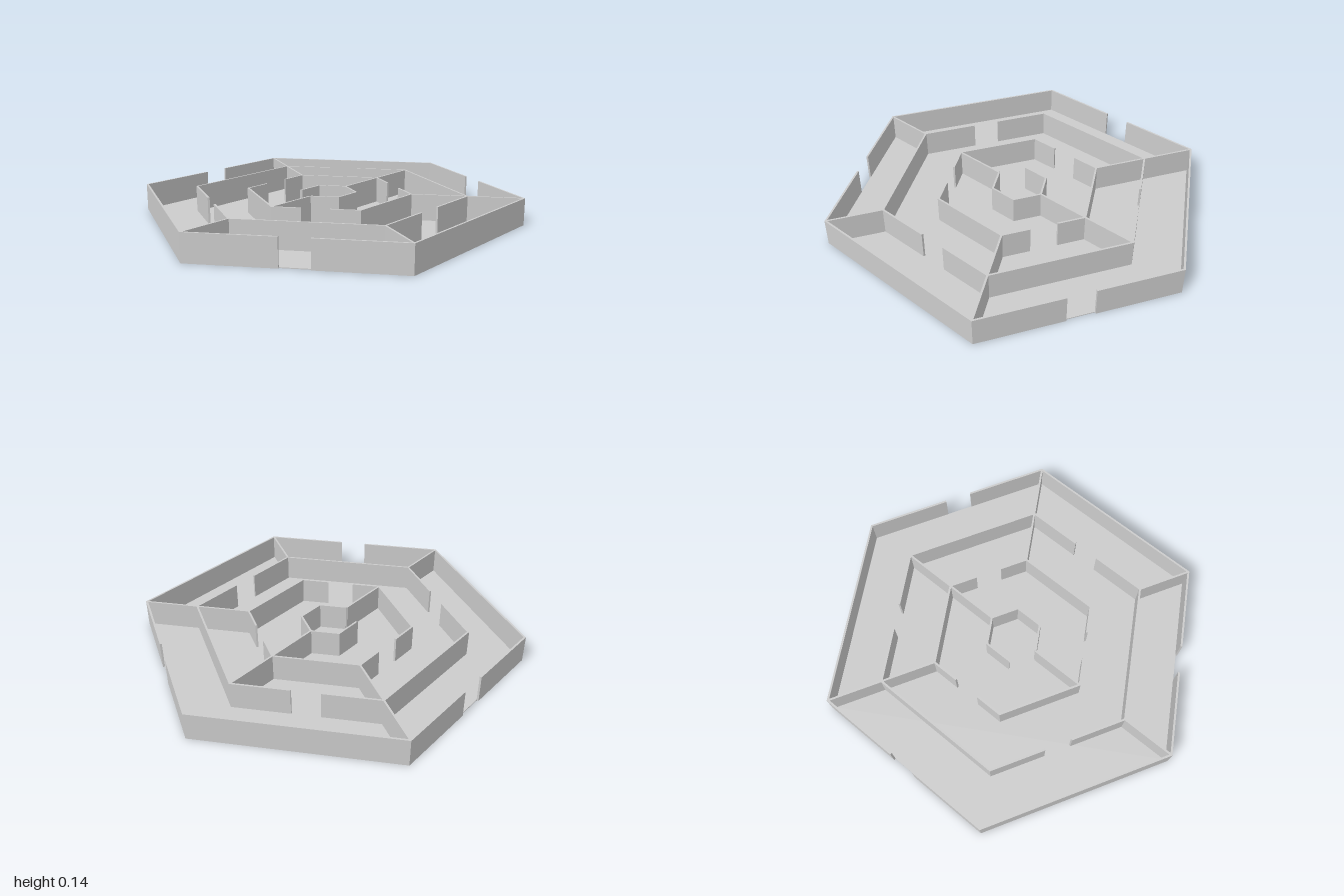
import * as THREE from 'three';

const HEIGHT = 0.14;      // wall height
const HALF = 0.005;       // half the wall thickness
const GAP = 0.14;         // doorway width
const FLOOR = 0.004;

const material = new THREE.MeshStandardMaterial({ color: 0xcccccc, flatShading: true });

// Corner k of a hexagon of radius r; corner 0 is at the back, counting towards +x.
// Shape coordinates are (x, -z).
function corner(k, r) {
  const a = k * Math.PI / 3;
  return new THREE.Vector2(Math.sin(a) * r, Math.cos(a) * r);
}

// Upright prism standing on y = 0 over a footprint.
function prism(points, height, name) {
  const geometry = new THREE.ExtrudeGeometry(new THREE.Shape(points), { depth: height, bevelEnabled: false });
  geometry.rotateX(-Math.PI / 2);
  const mesh = new THREE.Mesh(geometry, material);
  mesh.name = name;
  return mesh;
}

// Wall along side k, from fraction t0 to t1, mitred at the corners.
function sideWall(k, r, t0, t1) {
  const d = HALF / Math.cos(Math.PI / 6);
  const at = (t, radius) => corner(k, radius).lerp(corner(k + 1, radius), t);
  return prism([at(t0, r - d), at(t1, r - d), at(t1, r + d), at(t0, r + d)], HEIGHT, 'ringWall');
}

// Radial wall along the direction of corner k.
function spokeWall(k, r0, r1) {
  const a = corner(k, r0), b = corner(k, r1);
  const n = corner(k, HALF).rotateAround(new THREE.Vector2(), Math.PI / 2);
  return prism([a.clone().add(n), a.clone().sub(n), b.clone().sub(n), b.clone().add(n)], HEIGHT, 'spokeWall');
}

export function createModel() {
  const model = new THREE.Group();
  model.name = 'hexagonalMaze';

  // Floor slab
  model.add(prism([0, 1, 2, 3, 4, 5].map(k => corner(k, 0.99)), FLOOR, 'floor'));

  // Concentric hexagons, with doorways in the middle of some sides
  const rings = [
    { name: 'outerRing', r: 0.994, doors: [0, 2, 4] },
    { name: 'secondRing', r: 0.713, doors: [1, 3, 5] },
    { name: 'thirdRing', r: 0.43, doors: [0, 2, 4] },
    { name: 'centreRing', r: 0.145, doors: [3] },
  ];
  for (const { name, r, doors } of rings) {
    const ring = new THREE.Group();
    ring.name = name;
    const half = GAP / 2 / r;
    for (let k = 0; k < 6; k++) {
      if (!doors.includes(k)) ring.add(sideWall(k, r, 0, 1));
      else if (half < 0.4) ring.add(sideWall(k, r, 0, 0.5 - half), sideWall(k, r, 0.5 + half, 1));
    }
    model.add(ring);
  }

  // Spokes between neighbouring rings, listed by corner
  const spokes = new THREE.Group();
  spokes.name = 'spokes';
  [[1, 2, 3, 5], [0, 1, 5], [0, 3]].forEach((corners, i) => {
    for (const k of corners) spokes.add(spokeWall(k, rings[i + 1].r, rings[i].r));
  });
  model.add(spokes);

  return model;
}
